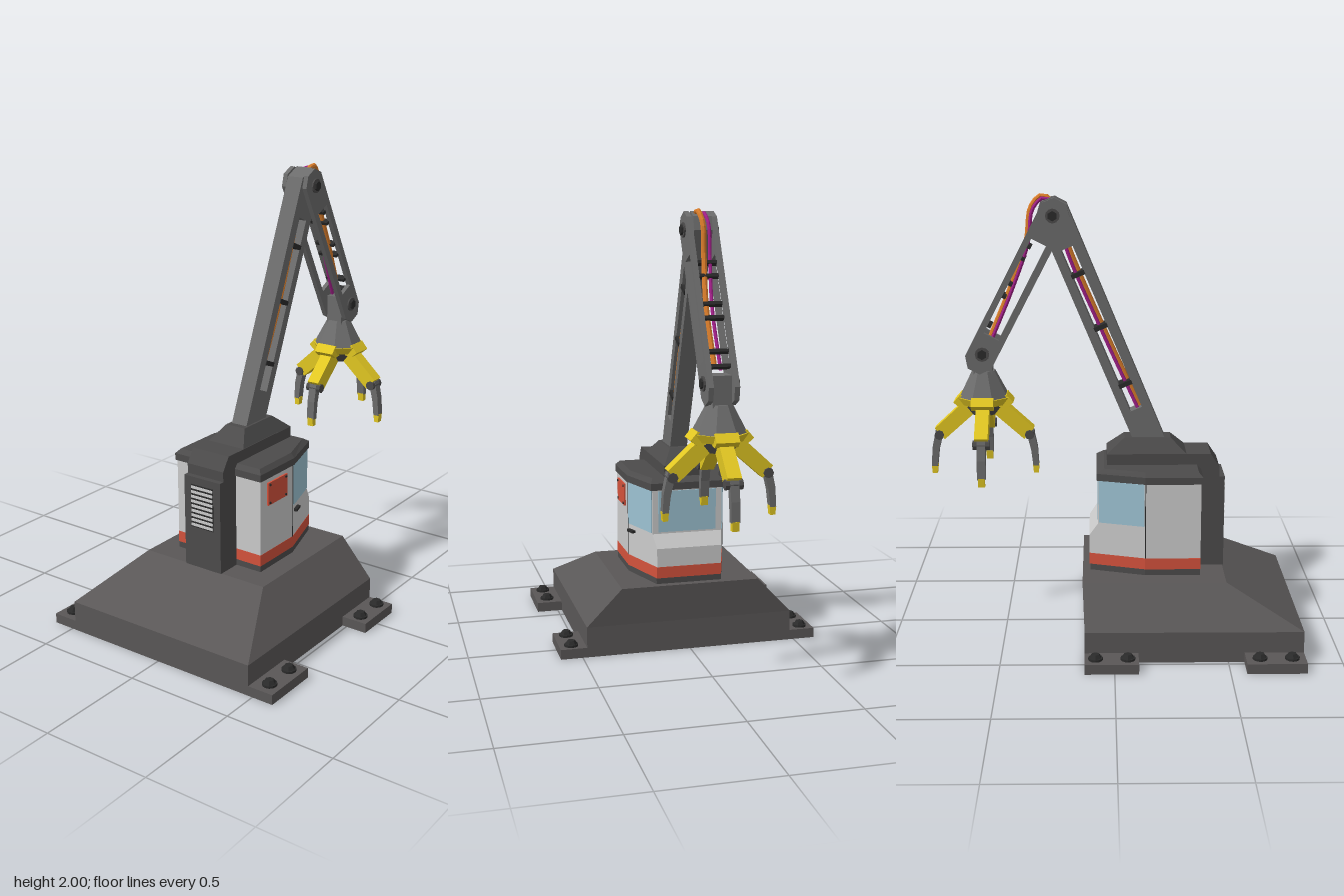
import * as THREE from 'three';

const mat = (color) => new THREE.MeshStandardMaterial({ color, flatShading: true, side: THREE.DoubleSide });
const M = {
  base: mat(0x5a5757), dark: mat(0x4c4b4b), black: mat(0x2b2b2b), arm: mat(0x6c6c6c), cab: mat(0xcccccc),
  red: mat(0xd4523c), glass: mat(0x9cc2d2), yellow: mat(0xe2c722), orange: mat(0xd97c2a), magenta: mat(0xa3208a),
};

function add(parent, name, geo, material, x = 0, y = 0, z = 0) {
  const m = new THREE.Mesh(geo, material);
  m.name = name;
  m.position.set(x, y, z);
  parent.add(m);
  return m;
}
const box = (p, name, m, w, h, d, x, y, z) => add(p, name, new THREE.BoxGeometry(w, h, d), m, x, y, z);

// Solid through levels [y, half outline], each half outline being [x, z] from back to front, mirrored in z
function loft(levels) {
  const rings = levels.map(([y, half]) => [
    ...half.map(([x, z]) => [x, y, z]),
    ...half.slice().reverse().map(([x, z]) => [x, y, -z]),
  ]);
  const pos = [];
  const tri = (a, b, c) => pos.push(...a, ...b, ...c);
  const n = rings[0].length;
  for (let k = 0; k + 1 < rings.length; k++) {
    const a = rings[k], b = rings[k + 1];
    for (let i = 0; i < n; i++) {
      const j = (i + 1) % n;
      tri(a[i], a[j], b[j]);
      tri(a[i], b[j], b[i]);
    }
  }
  const lo = rings[0], hi = rings[rings.length - 1];
  for (let i = 1; i + 1 < n; i++) {
    tri(hi[0], hi[i], hi[i + 1]);
    tri(lo[0], lo[i + 1], lo[i]);
  }
  const g = new THREE.BufferGeometry();
  g.setAttribute('position', new THREE.Float32BufferAttribute(pos, 3));
  g.computeVertexNormals();
  return g;
}

// Flat profile extruded evenly about z = 0, with an optional slot [halfWidth, y0, y1]
function plate(points, depth, slot) {
  const s = new THREE.Shape(points.map(([x, y]) => new THREE.Vector2(x, y)));
  if (slot) {
    const [w, a, b] = slot;
    s.holes.push(new THREE.Path([[-w, a], [-w, b], [w, b], [w, a]].map(([x, y]) => new THREE.Vector2(x, y))));
  }
  return new THREE.ExtrudeGeometry(s, { depth, bevelEnabled: false }).translate(0, 0, -depth / 2);
}

function buildBase(root) {
  const g = new THREE.Group();
  g.name = 'base';
  const foot = [[-0.83, 0.48], [0.13, 0.48]];
  add(g, 'plinth', loft([[0, foot], [0.14, foot], [0.31, [[-0.5, 0.32], [0.14, 0.32]]]]), M.base);
  for (const s of [-1, 1]) {
    for (const [x, w] of [[-0.7, 0.26], [0.0125, 0.235]]) {
      box(g, 'footPad', M.base, w, 0.045, 0.14, x, 0.0225, s * 0.53);
      for (const dx of [-0.07, 0.07]) {
        add(g, 'anchorWasher', new THREE.CylinderGeometry(0.032, 0.032, 0.01, 12), M.black, x + dx, 0.05, s * 0.545);
        add(g, 'anchorBolt', new THREE.CylinderGeometry(0.018, 0.028, 0.016, 6), M.black, x + dx, 0.063, s * 0.545);
      }
    }
  }
  root.add(g);
}

function buildCab(root) {
  const g = new THREE.Group();
  g.name = 'cab';
  const side = (x) => 0.228 - 0.312 * (x + 0.14);
  const plan = (xf, o = 0) => [[-0.39 - o, 0.228 + o], [-0.14, 0.228 + o], [xf + o, side(xf) + o]];
  add(g, 'cabSill', loft([[0.31, plan(0.105)], [0.34, plan(0.105)]]), M.dark);
  add(g, 'cabStripe', loft([[0.338, plan(0.11, 0.001)], [0.39, plan(0.11, 0.001)]]), M.red);
  add(g, 'cabBody', loft([[0.39, plan(0.11)], [0.475, plan(0.11)], [0.535, plan(0.07)], [0.745, plan(0.07)]]), M.cab);
  add(g, 'cabRoof', loft([[0.738, plan(0.07, 0.007)], [0.77, plan(0.07, 0.007)], [0.79, plan(0.055, -0.012)]]), M.dark);

  // Windows
  box(g, 'frontWindow', M.glass, 0.006, 0.19, 0.27, 0.07, 0.638, 0);
  for (const s of [-1, 1]) {
    box(g, 'sideWindow', M.glass, 0.212, 0.196, 0.006, -0.035, 0.638, s * side(-0.035)).rotation.y = s * 0.302;
    box(g, 'doorSeam', M.black, 0.004, 0.35, 0.004, -0.142, 0.565, s * 0.228);
  }
  // Door handle and side hatch
  box(g, 'doorHandle', M.black, 0.05, 0.012, 0.016, -0.1, 0.512, 0.224).rotation.y = 0.302;
  box(g, 'hatch', M.red, 0.145, 0.105, 0.014, -0.268, 0.663, 0.229);
  for (const dx of [-0.06, 0.06]) for (const dy of [-0.042, 0.042])
    add(g, 'hatchScrew', new THREE.CylinderGeometry(0.006, 0.006, 0.006, 6).rotateX(Math.PI / 2), M.black, -0.268 + dx, 0.663 + dy, 0.237);

  // Rear cabinet with its grille
  box(g, 'rearCabinet', M.dark, 0.125, 0.425, 0.194, -0.4425, 0.5225, 0);
  box(g, 'grilleBack', M.black, 0.004, 0.2, 0.12, -0.505, 0.6, 0);
  for (let i = 0; i < 9; i++) box(g, 'grilleSlat', M.cab, 0.006, 0.012, 0.115, -0.507, 0.512 + i * 0.022, 0);

  // Stepped boom housing
  const low = [[-0.48, 0.097], [0.03, 0.097]];
  add(g, 'boomHousing', loft([[0.73, low], [0.78, low], [0.84, [[-0.44, 0.097], [0.03, 0.097]]]]), M.dark);
  add(g, 'boomHousingTop', loft([[0.84, [[-0.33, 0.095], [0.03, 0.095]]], [0.905, [[-0.26, 0.05], [-0.05, 0.05]]]]), M.dark);
  root.add(g);
}

function buildArm(root) {
  // Lower boom, running along its local y
  const boom = new THREE.Group();
  boom.name = 'boom';
  boom.position.set(-0.16, 0.9, 0);
  boom.rotation.z = -0.4;
  add(boom, 'boomBeam', plate([[-0.068, -0.06], [0.068, -0.06], [0.065, 1.12], [0.027, 1.165], [-0.025, 1.165], [-0.075, 1.105]],
    0.08, [0.028, 0.147, 0.935]), M.arm);
  for (const t of [0.272, 0.554, 0.81]) box(boom, 'cableClamp', M.black, 0.062, 0.02, 0.088, 0, t, 0);
  root.add(boom);

  // Forearm: two slotted plates joined by straps
  const fore = new THREE.Group();
  fore.name = 'forearm';
  fore.position.set(0.265, 1.905, 0);
  fore.rotation.z = -2.662;
  const outline = [[-0.065, -0.03], [-0.03, -0.072], [0.03, -0.072], [0.068, -0.03],
    [0.065, 0.73], [0.03, 0.776], [-0.03, 0.776], [-0.065, 0.73]];
  for (const s of [-1, 1]) add(fore, 'forearmPlate', plate(outline, 0.022, [0.037, 0.13, 0.6]), M.arm, 0, 0, s * 0.055);
  for (const t of [0.17, 0.23, 0.355, 0.417, 0.564, 0.63]) box(fore, 'cableStrap', M.black, 0.03, 0.014, 0.1, -0.035, t, 0);
  root.add(fore);

  // Pivot pins
  for (const [x, y] of [[0.265, 1.905], [0.584, 1.294]]) {
    add(root, 'pivotWasher', new THREE.CylinderGeometry(0.032, 0.032, 0.146, 12).rotateX(Math.PI / 2), M.dark, x, y, 0);
    add(root, 'pivotBolt', new THREE.CylinderGeometry(0.022, 0.022, 0.164, 6).rotateX(Math.PI / 2), M.black, x, y, 0);
  }

  // Cables up the boom, over the elbow and down the forearm
  const path = [[-0.125, 1.03], [0.04, 1.39], [0.2, 1.77], [0.255, 1.94], [0.31, 1.987], [0.36, 1.94], [0.383, 1.79], [0.45, 1.6], [0.555, 1.35]];
  for (const [name, m, z, o, r] of [['orangeCable', M.orange, 0.014, 0, 0.012], ['magentaCable', M.magenta, -0.014, -0.008, 0.008]]) {
    const pts = path.map(([x, y], i) => new THREE.Vector3(x + (i < 3 ? -o : o), y + o, z + 0.006 * Math.sin(i * 2)));
    add(root, name, new THREE.TubeGeometry(new THREE.CatmullRomCurve3(pts), 64, r, 8), m);
  }
}

function buildClaw(root) {
  const g = new THREE.Group();
  g.name = 'claw';
  g.position.x = 0.585;
  const oct = (r0, r1, h) => new THREE.CylinderGeometry(r0, r1, h, 8).rotateY(Math.PI / 8);
  box(g, 'wristBlock', M.arm, 0.085, 0.14, 0.08, 0, 1.26, 0);
  add(g, 'wristHub', oct(0.055, 0.118, 0.12), M.arm, 0, 1.15, 0);
  add(g, 'wristCollar', oct(0.125, 0.105, 0.035), M.yellow, 0, 1.075, 0);
  add(g, 'wristCore', oct(0.09, 0.06, 0.05), M.dark, 0, 1.035, 0);
  for (let i = 0; i < 4; i++) {
    const f = new THREE.Group();
    f.name = 'finger';
    f.rotation.y = i * Math.PI / 2;
    add(f, 'knuckle', plate([[0.08, 1.1], [0.105, 1.105], [0.135, 1.07], [0.105, 1.045], [0.07, 1.05]], 0.1), M.yellow);
    add(f, 'fingerLink', plate([[0.045, 1.015], [0.095, 1.065], [0.225, 0.945], [0.18, 0.895]], 0.06), M.yellow);
    add(f, 'fingerJoint', new THREE.CylinderGeometry(0.022, 0.022, 0.075, 8).rotateX(Math.PI / 2), M.dark, 0.205, 0.915, 0);
    add(f, 'fingerTine', plate([[0.19, 0.92], [0.222, 0.935], [0.24, 0.85], [0.245, 0.765], [0.219, 0.765], [0.21, 0.84]], 0.038), M.arm);
    add(f, 'fingerTip', plate([[0.217, 0.77], [0.246, 0.77], [0.243, 0.73], [0.221, 0.73]], 0.03), M.yellow);
    g.add(f);
  }
  root.add(g);
}

export function createModel() {
  const root = new THREE.Group();
  root.name = 'roboticArmStation';
  buildBase(root);
  buildCab(root);
  buildArm(root);
  buildClaw(root);
  return root;
}
